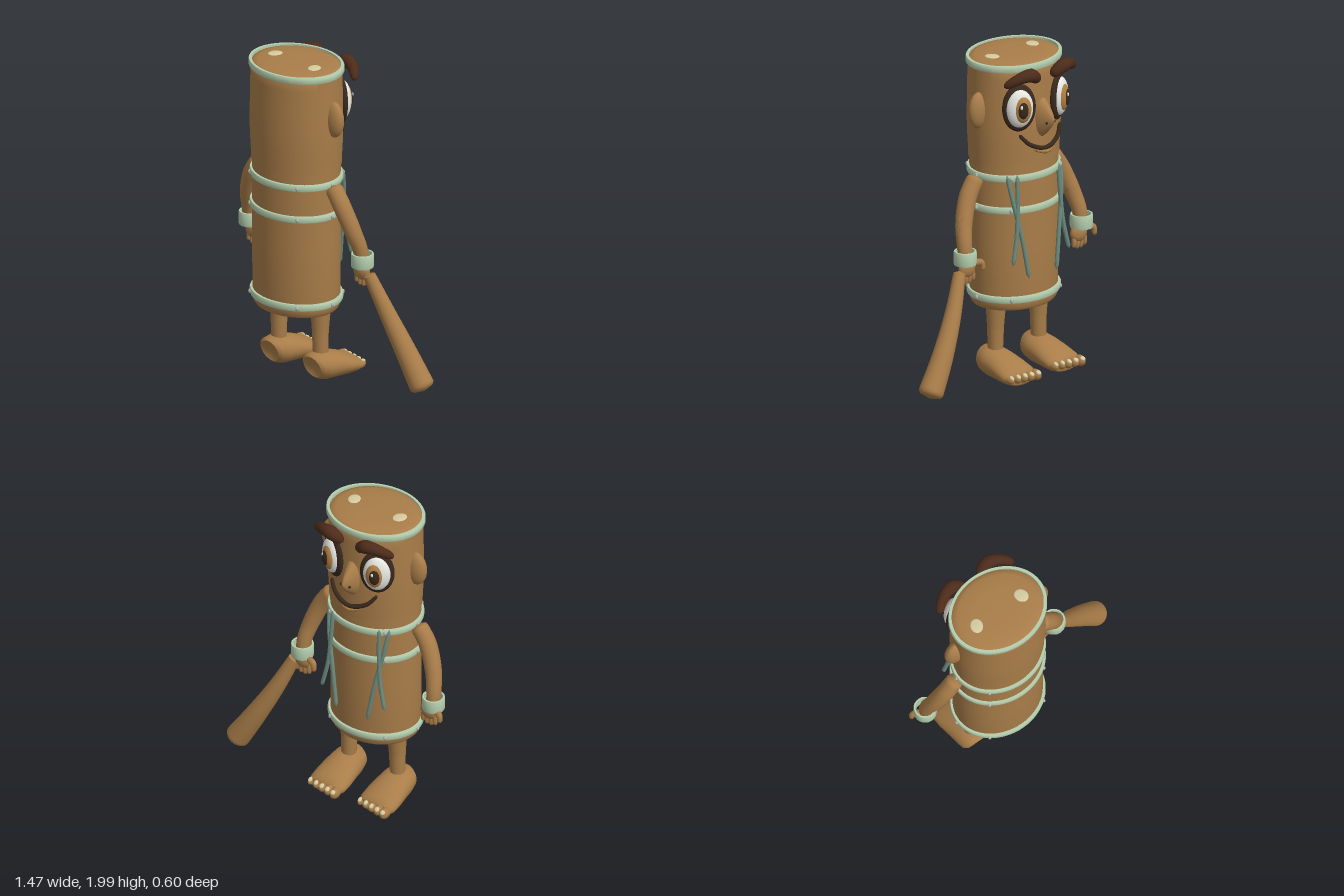
import * as THREE from 'three';
import { toCreasedNormals } from 'three/addons/utils/BufferGeometryUtils.js';

const CX = -0.195, CZ = 0.045; // axis of the drum-shaped body

export function createModel() {
  const model = new THREE.Group();
  const mat = (name, color) => {
    const m = new THREE.MeshStandardMaterial({ color, side: THREE.DoubleSide });
    m.name = name;
    return m;
  };
  const wood = mat('wood brown', 0xa97d49);
  const green = mat('pale green', 0xb5cfae);
  const cord = mat('cord green', 0x6c8a7d);
  const dark = mat('dark brown', 0x38281d);
  const browMat = mat('brow brown', 0x4c2b1b);
  const white = mat('eye white', 0xe9e9e4);
  const iris = mat('iris brown', 0xb07f45);
  const cream = mat('cream', 0xd6cba0);
  const metal = mat('rivet grey', 0xb4b8b0);

  const add = (name, geo, m, parent = model) => {
    const mesh = new THREE.Mesh(geo, m);
    mesh.name = name;
    parent.add(mesh);
    return mesh;
  };
  const ball = (name, m, x, y, z, rx, ry, rz, parent = model, n = 24) => {
    const b = add(name, new THREE.SphereGeometry(1, n, Math.ceil(n * 0.7)), m, parent);
    b.position.set(x, y, z);
    b.scale.set(rx, ry, rz);
    return b;
  };
  // lathe turned around the body axis, flattened in depth
  const turned = (name, profile, depth, m) => {
    const g = new THREE.LatheGeometry(profile.map(p => new THREE.Vector2(...p)), 64);
    g.scale(1, 1, depth);
    add(name, toCreasedNormals(g, 0.7), m).position.set(CX, 0, CZ);
  };
  // tube with varying radius and rounded ends (cap = share of length rounded)
  const limb = (name, pts, radii, m, parent = model, cap0 = 0.08, cap1 = 0.08, segs = 36, sides = 18) => {
    const curve = new THREE.CatmullRomCurve3(pts.map(p => new THREE.Vector3(...p)));
    const g = new THREE.TubeGeometry(curve, segs, 1, sides);
    const pos = g.attributes.position, v = new THREE.Vector3();
    for (let i = 0; i <= segs; i++) {
      const u = i / segs, f = u * (radii.length - 1), k = Math.min(Math.floor(f), radii.length - 2);
      const base = THREE.MathUtils.lerp(radii[k], radii[k + 1], f - k);
      const round = (d, c) => { const t = Math.min(1, d / c); return Math.sqrt(Math.max(0, t * (2 - t))); };
      const r = base * round(u, cap0) * round(1 - u, cap1);
      const c = curve.getPointAt(u);
      for (let j = 0; j <= sides; j++) {
        const n = i * (sides + 1) + j;
        v.fromBufferAttribute(pos, n).sub(c).multiplyScalar(r).add(c);
        pos.setXYZ(n, v.x, v.y, v.z);
      }
    }
    return add(name, toCreasedNormals(g, 1.1), m, parent);
  };
  // skin over elliptical sections [z, y, half width, half height, lean], running towards -z
  const loft = (sections, n = 28) => {
    const pos = [], idx = [];
    sections.forEach(([z, y, rx, ry, lean = 0], i) => {
      for (let j = 0; j < n; j++) {
        const a = j / n * Math.PI * 2, dy = Math.sin(a) * ry;
        pos.push(Math.cos(a) * rx, y + dy, z + dy * lean);
        if (i < sections.length - 1) {
          const p = i * n + j, q = i * n + (j + 1) % n;
          idx.push(p, p + n, q, q, p + n, q + n);
        }
      }
    });
    const g = new THREE.BufferGeometry();
    g.setAttribute('position', new THREE.Float32BufferAttribute(pos, 3));
    g.setIndex(idx);
    return toCreasedNormals(g, 0.8);
  };

  // body and head
  turned('body', [[0, 0.455], [0.2, 0.453], [0.262, 0.453], [0.276, 0.47], [0.28, 0.5], [0.283, 0.9], [0.282, 1.3],
    [0.284, 1.365]], 0.84, wood);
  turned('head', [[0.27, 1.36], [0.288, 1.362], [0.29, 1.42], [0.296, 1.52], [0.298, 1.62], [0.296, 1.75], [0.293, 1.9],
    [0.293, 1.965], [0.28, 1.98], [0.245, 1.99], [0.15, 1.995], [0, 1.997]], 0.845, wood);

  // hoops with rivets
  [[1.97, 0.31], [1.285, 0.299], [1.085, 0.299], [0.525, 0.297]].forEach(([y, r], i) => {
    const depth = 0.253 / r;
    turned('hoop', [[r - 0.022, y - 0.02], [r - 0.004, y - 0.02], [r, y - 0.012], [r, y + 0.012],
      [r - 0.004, y + 0.02], [r - 0.022, y + 0.02], [r - 0.022, y - 0.02]], depth, green);
    if (!i) return;
    for (const a of [0, 0.85, 2.29, 3.14, 3.99, 5.43]) {
      ball('rivet', metal, CX + Math.cos(a) * r, y, CZ + Math.sin(a) * 0.253, 0.011, 0.015, 0.011, model, 10);
    }
  });

  for (const s of [-1, 1]) {
    const X = x => CX + s * x;
    ball('topSpot', cream, X(0.162), 1.994, 0.058, 0.038, 0.006, 0.045).rotation.y = s * 0.4;
    ball('ear', wood, X(0.297), 1.698, 0.03, 0.073, 0.112, 0.046);

    // eye, stacked from rim to glint
    const eye = new THREE.Group();
    eye.name = 'eye';
    eye.position.set(X(0.155), 1.73, -0.165);
    eye.rotation.y = Math.PI - s * 0.48;
    model.add(eye);
    ball('eyeRim', dark, 0, 0, 0, 0.103, 0.148, 0.036, eye, 32);
    ball('eyeWhite', white, 0, 0, 0.012, 0.083, 0.12, 0.05, eye, 32);
    ball('eyeIris', iris, s * 0.01, 0, 0.037, 0.055, 0.085, 0.035, eye, 32);
    ball('eyePupil', dark, s * 0.01, 0, 0.056, 0.034, 0.055, 0.024, eye);
    ball('eyeGlint', white, s * 0.01 - 0.012, 0.022, 0.073, 0.009, 0.013, 0.007, eye, 12);

    // brow
    limb('brow', [[X(0.275), 1.885, -0.165], [X(0.21), 1.93, -0.215], [X(0.135), 1.945, -0.24], [X(0.05), 1.895, -0.22]],
      [0.022, 0.032, 0.042, 0.03], browMat, model, 0.15, 0.15);

    // legs
    limb('leg', [[X(0.172), 0.48, 0.015], [X(0.172), 0.32, 0.018], [X(0.174), 0.15, 0.018]], [0.062, 0.05, 0.045], wood,
      model, 0.02, 0.02);

    // arm and wrist band
    limb('arm', [[X(0.3), 1.285, 0.045], [X(0.375), 1.17, 0.04], [X(0.435), 1.02, 0.01], [X(0.462), 0.9, -0.025],
      [X(0.464), 0.79, -0.04]], [0.052, 0.054, 0.052, 0.046, 0.04], wood, model, 0.05);
    const band = new THREE.LatheGeometry([[0.056, -0.042], [0.066, -0.042], [0.069, -0.03], [0.069, 0.03], [0.066, 0.042],
      [0.056, 0.042], [0.056, -0.042]].map(p => new THREE.Vector2(...p)), 36);
    add('wristBand', toCreasedNormals(band, 0.7), green).position.set(X(0.468), 0.837, -0.037);

    // loose cords hanging down the chest
    const cords = [
      [[0.215, 1.31, -0.125], [0.195, 1.15, -0.155], [0.15, 0.92, -0.185], [0.11, 0.66, -0.205]],
      [[0.165, 1.31, -0.16], [0.17, 1.15, -0.17], [0.185, 0.95, -0.18], [0.225, 0.76, -0.19]],
    ];
    for (const c of cords) limb('cord', c.map(([x, y, z]) => [X(x), y, z]), [0.013, 0.013], cord, model, 0.01, 0.01, 24, 8);

    // nostril
    ball('nostril', dark, X(0.03), 1.628, -0.27, 0.009, 0.009, 0.007, model, 10);
  }

  // nose: rounded cone pointing forward
  const nose = new THREE.LatheGeometry([[1, 0], [0.86, 0.03], [0.6, 0.068], [0.33, 0.1], [0.14, 0.117], [0, 0.122]]
    .map(p => new THREE.Vector2(...p)), 28);
  nose.scale(0.062, 1, 0.135);
  nose.rotateX(-Math.PI / 2);
  add('nose', nose, wood).position.set(CX, 1.645, -0.18);

  // smile and lower lip
  limb('mouth', [[CX - 0.165, 1.565, -0.175], [CX - 0.11, 1.5, -0.212], [CX, 1.462, -0.235], [CX + 0.11, 1.5, -0.212],
    [CX + 0.165, 1.565, -0.175]], [0.011, 0.014, 0.014, 0.011], dark, model, 0.05, 0.05, 40, 10);
  limb('lowerLip', [[CX - 0.08, 1.462, -0.212], [CX, 1.442, -0.237], [CX + 0.08, 1.462, -0.212]], [0.012, 0.016, 0.012],
    iris, model, 0.2, 0.2, 24, 10);

  // hands
  for (const x of [-0.645, 0.255]) {
    const hand = new THREE.Group();
    hand.name = 'hand';
    hand.position.set(x, 0, -0.04);
    model.add(hand);
    ball('palm', wood, 0.008, 0.768, 0, 0.06, 0.058, 0.036, hand);
    limb('thumb', [[-0.035, 0.795, -0.015], [-0.08, 0.79, -0.03], [-0.09, 0.735, -0.035]], [0.022, 0.019, 0.015],
      wood, hand, 0.2, 0.2, 16, 10);
    [-0.036, -0.007, 0.022, 0.049].forEach((fx, i) => limb('finger', [[fx * 0.9, 0.76, 0], [fx, 0.71, -0.006],
      [fx, i % 3 ? 0.668 : 0.68, -0.002]], [0.016, 0.015, 0.013], wood, hand, 0.2, 0.2, 14, 10));
  }

  // feet with toes and nails
  for (const x of [-0.37, -0.015]) {
    const foot = new THREE.Group();
    foot.name = 'foot';
    foot.position.x = x;
    model.add(foot);
    add('footBody', loft([[0.08, 0.105, 0, 0], [0.08, 0.105, 0.045, 0.045, 0.28], [0.092, 0.108, 0.072, 0.068, 0.28],
      [0.075, 0.108, 0.094, 0.082, 0.25], [0.02, 0.105, 0.105, 0.09], [-0.05, 0.096, 0.112, 0.085],
      [-0.13, 0.08, 0.122, 0.07], [-0.19, 0.068, 0.122, 0.056], [-0.225, 0.062, 0.108, 0.042], [-0.24, 0.06, 0, 0]]), wood, foot);
    for (let i = 0; i < 5; i++) {
      const tx = -0.088 + i * 0.046, tip = -0.246 + i * 0.008, r = 0.034 - i * 0.0025;
      ball('toe', wood, tx, 0.065, tip + 0.004, r * 0.85, r, 0.042, foot, 16);
      ball('toenail', cream, tx, 0.083, tip - 0.02, r * 0.5, 0.011, 0.018, foot, 12).rotation.x = -0.5;
    }
  }

  // bat held in one hand
  limb('bat', [[0.318, 0.765, -0.04], [0.42, 0.535, -0.09], [0.545, 0.3, -0.13], [0.672, 0.085, -0.153]],
    [0.036, 0.05, 0.064, 0.077], wood, model, 0.02, 0.05, 50, 24);
  return model;
}
